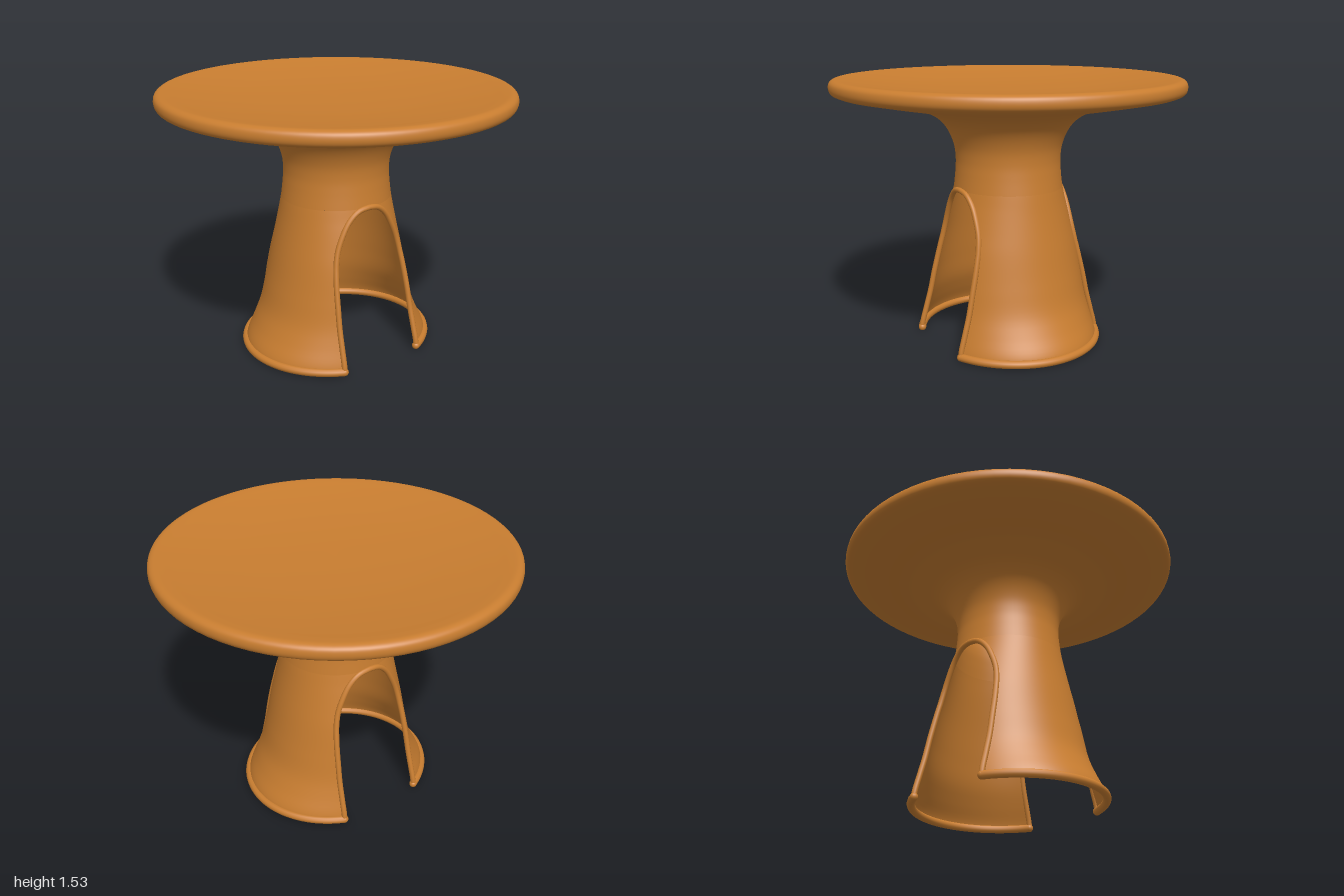
import * as THREE from 'three';

// Smooth lookup through [height, value] pairs
const lookup = (pairs) => {
  const c = new THREE.CubicInterpolant(pairs.map((p) => p[0]), pairs.map((p) => p[1]), 1);
  return (y) => c.evaluate(y)[0];
};

// Smooth profile through [a, b] pairs
const profile = (pairs, n) => new THREE.SplineCurve(pairs.map((p) => new THREE.Vector2(...p))).getPoints(n);

// Pedestal radii along z and along x: the foot flares more to front and back
const radiusZ = lookup([[0, 0.565], [0.05, 0.557], [0.15, 0.505], [0.25, 0.458], [0.4, 0.42], [0.6, 0.38], [0.8, 0.341], [0.915, 0.322]]);
const radiusX = lookup([[0, 0.515], [0.05, 0.506], [0.15, 0.482], [0.25, 0.461], [0.4, 0.436], [0.6, 0.398], [0.7, 0.371], [0.8, 0.344], [0.85, 0.33], [0.915, 0.314]]);

// Point on the pedestal at height y, angle a from the +z axis
const onPedestal = (y, a) => new THREE.Vector3(radiusX(y) * Math.sin(a), y, radiusZ(y) * Math.cos(a));

// Half outline of the arched opening: (half width in z, height)
const arch = profile([
  [0.262, 0.02], [0.258, 0.15], [0.25, 0.35], [0.236, 0.53], [0.21, 0.68],
  [0.16, 0.8], [0.112, 0.868], [0.06, 0.905], [0, 0.915],
], 56);
const limit = (p) => Math.acos(p.x / radiusZ(p.y));

// Half of the lower pedestal, a sheet bounded by the two openings
function legGeometry() {
  const cols = 40, pos = [], idx = [];
  arch.forEach((p, i) => {
    for (let j = 0; j <= cols; j++) {
      pos.push(...onPedestal(p.y, limit(p) * (2 * j / cols - 1)).toArray());
      if (i && j) {
        const d = i * (cols + 1) + j, c = d - 1, b = d - cols - 1, a = b - 1;
        idx.push(a, b, d, a, d, c);
      }
    }
  });
  const g = new THREE.BufferGeometry();
  g.setAttribute('position', new THREE.Float32BufferAttribute(pos, 3));
  g.setIndex(idx);
  g.computeVertexNormals();
  return g;
}

// Neck sweeping out into the underside, slightly narrower in x where it meets the legs
function neckGeometry() {
  const g = new THREE.LatheGeometry(profile([
    [0.322, 0.915], [0.311, 1.0], [0.305, 1.08], [0.313, 1.16], [0.344, 1.24],
    [0.392, 1.302], [0.465, 1.348], [0.58, 1.379], [0.78, 1.416], [0.955, 1.45],
  ], 54), 80);
  const p = g.attributes.position;
  for (let i = 0; i < p.count; i++) {
    p.setX(i, p.getX(i) * (0.975 + 0.025 * THREE.MathUtils.smoothstep(p.getY(i), 0.915, 1.2)));
  }
  return g;
}

export function createModel() {
  const group = new THREE.Group();
  const orange = new THREE.MeshStandardMaterial({ color: 0xc87d30, side: THREE.DoubleSide });
  orange.name = 'orange';
  const add = (name, geometry, parent = group) => {
    const m = new THREE.Mesh(geometry, orange);
    m.name = name;
    parent.add(m);
    return m;
  };
  const tube = (pts, r) => new THREE.TubeGeometry(new THREE.CatmullRomCurve3(pts), 96, r, 12);

  add('neckAndUnderside', neckGeometry());

  // Rounded rim and dished top
  add('tableTop', new THREE.LatheGeometry(profile([
    [0.955, 1.45], [0.988, 1.464], [1, 1.49], [0.994, 1.522], [0.968, 1.538],
    [0.925, 1.536], [0.85, 1.526], [0.7, 1.509], [0.5, 1.492], [0.25, 1.481], [0, 1.477],
  ], 60), 80));

  // Front and back legs with a rounded foot bead
  const leg = legGeometry();
  const footLimit = limit(arch[0]);
  const footPts = Array.from({ length: 33 }, (_, i) => onPedestal(0.028, footLimit * (i / 16 - 1)));
  const foot = tube(footPts, 0.023);
  ['front', 'back'].forEach((side, k) => {
    const half = new THREE.Group();
    half.name = side + 'Leg';
    half.rotation.y = k * Math.PI;
    add(side + 'LegShell', leg, half);
    add(side + 'FootBead', foot, half);
    for (const end of [footPts[0], footPts[32]]) {
      add(side + 'FootBeadEnd', new THREE.SphereGeometry(0.023, 16, 12), half).position.copy(end);
    }
    group.add(half);
  });

  // Raised bead around each arched opening, standing slightly proud of the lower legs
  const rise = arch.map((p) => {
    const v = onPedestal(p.y, limit(p));
    v.x += 0.014 * Math.sin(Math.PI * Math.min(p.y / 0.6, 1));
    return v;
  });
  const fall = rise.slice(0, -1).reverse().map((v) => new THREE.Vector3(v.x, v.y, -v.z));
  const bead = tube([...rise, ...fall], 0.016);
  ['left', 'right'].forEach((side, k) => {
    add(side + 'ArchBead', bead).rotation.y = k * Math.PI;
  });

  return group;
}
